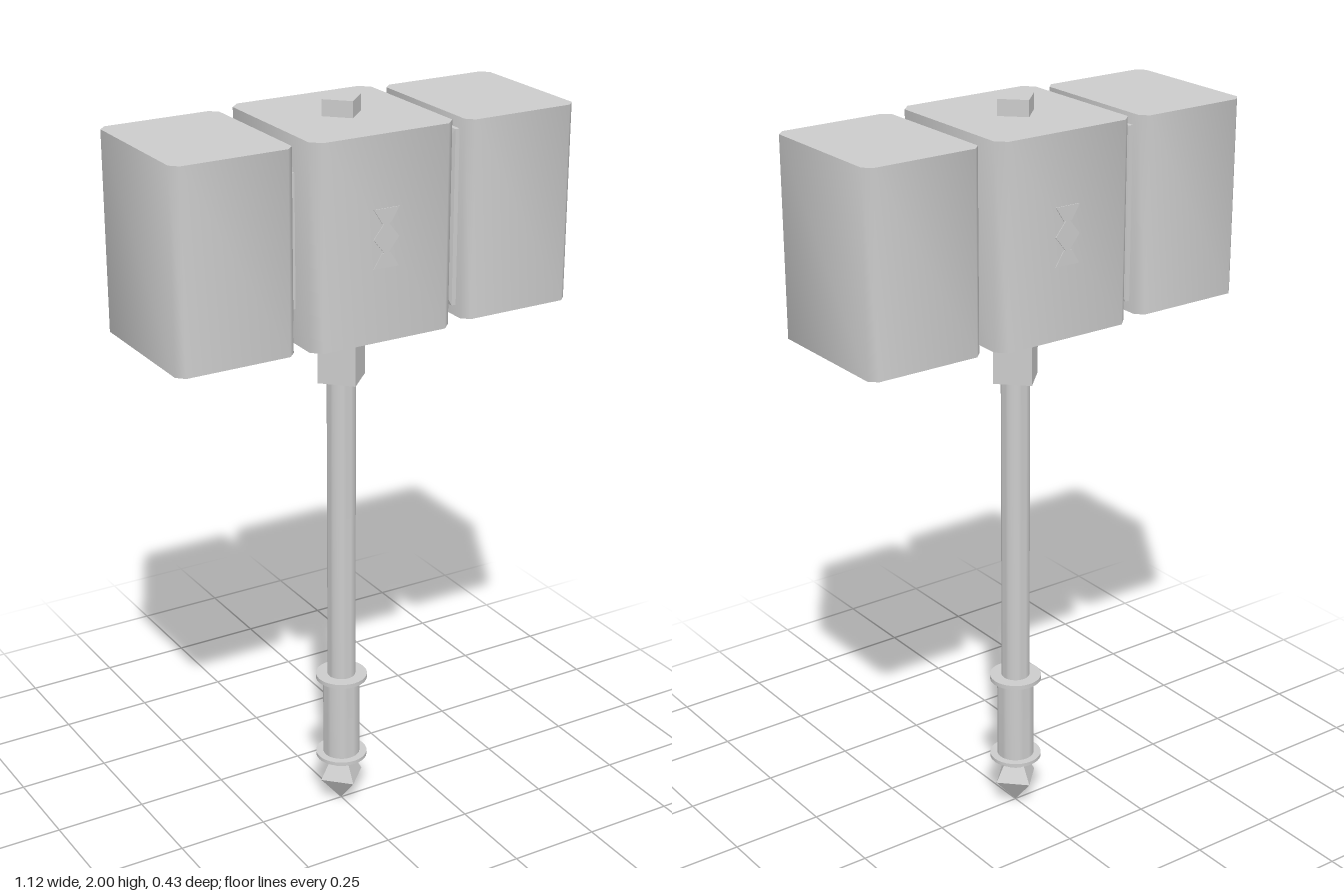
import * as THREE from 'three';
import { toCreasedNormals } from 'three/addons/utils/BufferGeometryUtils.js';

const smooth = new THREE.MeshStandardMaterial({ color: 0xcccccc });
const flat = new THREE.MeshStandardMaterial({ color: 0xcccccc, flatShading: true });

const pts = (list) => list.map(([x, y]) => new THREE.Vector2(x, y));

// Upright block with chamfered vertical edges, shaded softly around its sides
function chamferedBlock(halfX, halfZ, y0, y1, c) {
  const shape = new THREE.Shape(pts([
    [halfX - c, -halfZ], [halfX, -halfZ + c], [halfX, halfZ - c], [halfX - c, halfZ],
    [-halfX + c, halfZ], [-halfX, halfZ - c], [-halfX, -halfZ + c], [-halfX + c, -halfZ],
  ]));
  const geo = new THREE.ExtrudeGeometry(shape, { depth: y1 - y0, bevelEnabled: false });
  geo.rotateX(-Math.PI / 2).translate(0, y0, 0);
  return toCreasedNormals(geo, Math.PI / 3);
}

// Square post turned 45 degrees, corners towards x and z
function diamondPost(r, y0, y1) {
  return new THREE.CylinderGeometry(r, r, y1 - y0, 4).translate(0, (y0 + y1) / 2, 0);
}

export function createModel() {
  const model = new THREE.Group();
  model.name = 'hammer';
  const add = (name, geo, mat = smooth, parent = model) => {
    const mesh = new THREE.Mesh(geo, mat);
    mesh.name = name;
    parent.add(mesh);
    return mesh;
  };

  // Head: central block with a peg on top
  add('headCentre', chamferedBlock(0.2, 0.212, 1.435, 1.958, 0.025));
  add('topPeg', diamondPost(0.056, 1.94, 2), flat);

  // Striking blocks and the stepped joints that hold them
  for (const side of [1, -1]) {
    const name = side > 0 ? 'left' : 'right';
    const block = add(name + 'StrikingBlock', chamferedBlock(0.16, 0.2, 1.44, 1.953, 0.02));
    block.position.x = side * 0.4;

    const profile = pts([[0, 0.19], [0.12, 0.19], [0.12, 0.213], [0.16, 0.228], [0.16, 0.25], [0, 0.25]]);
    profile.forEach((p) => { p.x *= Math.SQRT2; });
    const joint = new THREE.LatheGeometry(profile, 4, Math.PI / 4);
    joint.rotateZ(-side * Math.PI / 2).scale(1, 1.42, 1).translate(0, 1.697, 0);
    add(name + 'Joint', joint, flat);
  }

  // Ornament on front and back: a diamond between two triangles
  const w = 0.036;
  const ornament = [
    [[-w, 0.075], [-0.012, 0.037], [0.012, 0.037], [w, 0.075]],
    [[0, 0.045], [-w, 0], [0, -0.045], [w, 0]],
    [[-w, -0.075], [w, -0.075], [0.012, -0.037], [-0.012, -0.037]],
  ];
  for (const turn of [0, Math.PI]) {
    const group = new THREE.Group();
    group.name = turn ? 'backOrnament' : 'frontOrnament';
    group.rotation.y = turn;
    for (const corners of ornament) {
      const geo = new THREE.ExtrudeGeometry(new THREE.Shape(pts(corners)), { depth: 0.008, bevelEnabled: false });
      add('ornamentInlay', geo.translate(0, 1.7, 0.206), flat, group);
    }
    model.add(group);
  }

  // Neck under the head
  add('neckCollar', diamondPost(0.083, 1.405, 1.44), flat);
  add('neck', diamondPost(0.071, 1.265, 1.41), flat);

  // Round shaft, grip and its two rings
  const turned = pts([
    [0, 0.125], [0.04, 0.125], [0.04, 0.145], [0.07, 0.145], [0.07, 0.155], [0.05, 0.155],
    [0.05, 0.388], [0.07, 0.388], [0.07, 0.4], [0.038, 0.4], [0.038, 1.27],
  ]);
  add('shaftAndGrip', toCreasedNormals(new THREE.LatheGeometry(turned, 32), Math.PI / 5));

  // Four-sided pointed pommel
  const gem = pts([[0, 0], [0.065, 0.076], [0.033, 0.135], [0, 0.135]]);
  add('pommel', new THREE.LatheGeometry(gem, 4), flat);

  return model;
}
